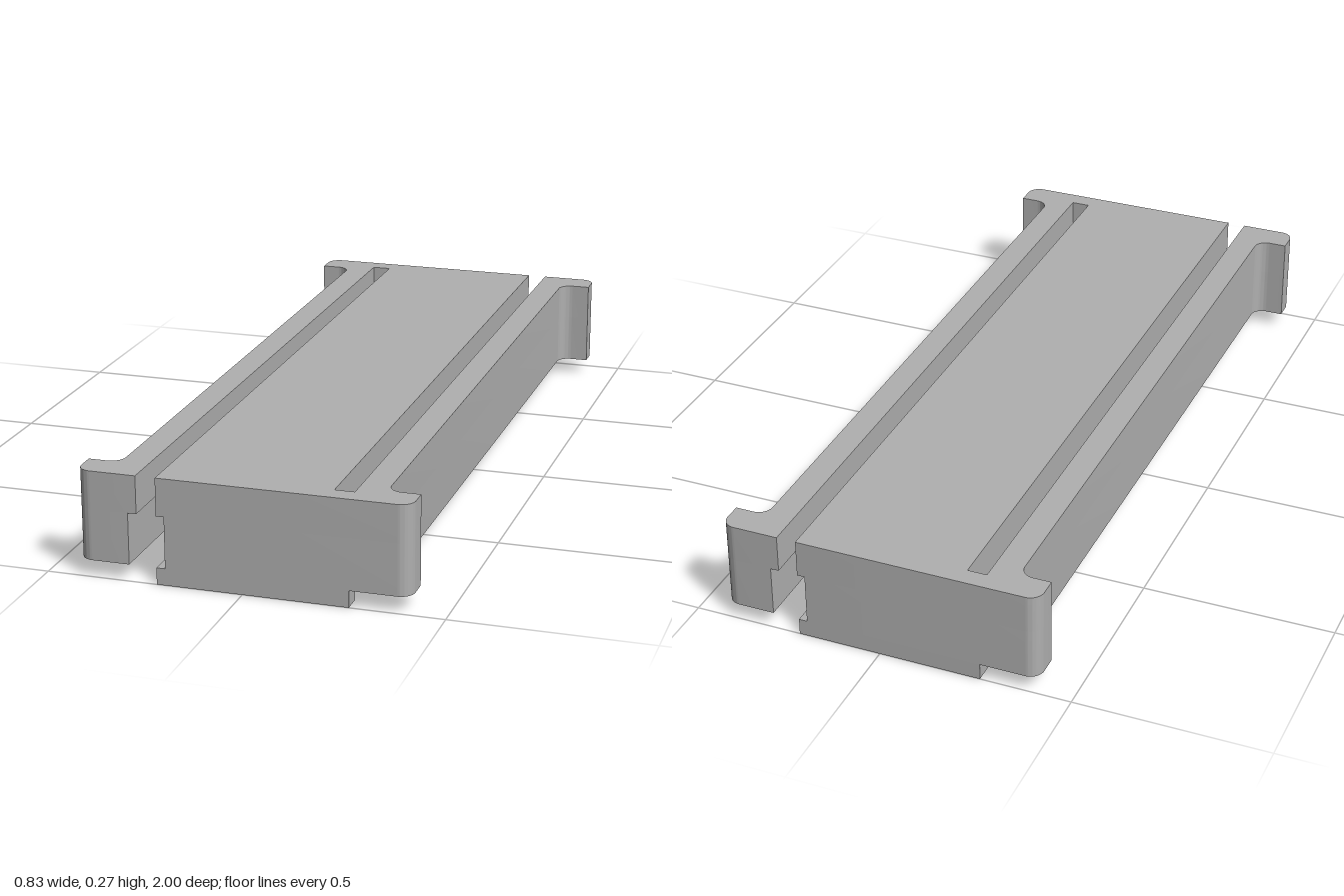
import * as THREE from 'three';
import { toCreasedNormals } from 'three/addons/utils/BufferGeometryUtils.js';

const BASE = 0.043, STEP = 0.175, TOP = 0.272; // level heights

// Outer edge of one long side with its two rounded corner lugs; s = -1 turns it half round.
function traceSide(path, s) {
  const turn = s < 0 ? Math.PI : 0;
  const arc = (x, z, a, b, clockwise) =>
    path.absarc(s * x, s * z, 0.035, a + turn, b + turn, clockwise);
  const line = (x, z) => path.lineTo(s * x, s * z);
  const q = Math.PI / 2;
  line(0.382, 1);
  arc(0.382, 0.965, q, 0, true);
  line(0.417, 0.92);
  line(0.37, 0.92);
  arc(0.37, 0.885, q, 2 * q, false);
  line(0.335, -0.885);
  arc(0.37, -0.885, 2 * q, 3 * q, false);
  line(0.417, -0.92);
  line(0.417, -0.965);
  arc(0.382, -0.965, 0, -q, true);
}

// Extrude a plan shape (x, z) between two heights.
function slab(shape, y0, y1) {
  const geo = new THREE.ExtrudeGeometry(shape, {
    depth: y1 - y0, bevelEnabled: false, curveSegments: 10,
  });
  geo.rotateX(Math.PI / 2);
  geo.translate(0, y1, 0);
  return toCreasedNormals(geo, 0.6);
}

export function createModel() {
  const model = new THREE.Group();
  model.name = 'slottedHousing';
  const grey = new THREE.MeshStandardMaterial({ color: 0xb0b0b0 });
  grey.name = 'grey';
  const add = (parent, name, geo) => {
    const mesh = new THREE.Mesh(geo, grey);
    mesh.name = name;
    parent.add(mesh);
    return mesh;
  };

  // Top plate with two long slots, each open at one end
  const plate = new THREE.Shape();
  plate.moveTo(-0.215, 1);
  for (const s of [1, -1]) {
    traceSide(plate, s);
    for (const [x, z] of [[0.265, -1], [0.265, 0.95], [0.215, 0.95], [0.215, -1]]) {
      plate.lineTo(s * x, s * z);
    }
  }
  add(model, 'topPlate', slab(plate, STEP, TOP));

  // L-shaped wall: one long side plus one end, with screw holes in the lugs
  const wall = new THREE.Shape();
  wall.moveTo(-0.195, 1);
  traceSide(wall, 1);
  wall.lineTo(0.287, -1);
  wall.lineTo(0.287, 0.95);
  wall.lineTo(-0.195, 0.95);
  wall.closePath();
  for (const z of [0.955, -0.955]) {
    wall.holes.push(new THREE.Path().absarc(0.375, z, 0.012, 0, Math.PI * 2, true));
  }
  const wallGeo = slab(wall, BASE, STEP);

  // Foot strip under the end wall
  const footGeo = new THREE.BoxGeometry(0.482, BASE, 0.05);
  footGeo.translate(0.024, BASE / 2, 0.975);

  // The two halves are half-turn copies
  ['front', 'back'].forEach((name, i) => {
    const half = new THREE.Group();
    half.name = name + 'Half';
    half.rotation.y = i * Math.PI;
    add(half, name + 'Wall', wallGeo);
    add(half, name + 'Foot', footGeo);
    model.add(half);
  });

  return model;
}
